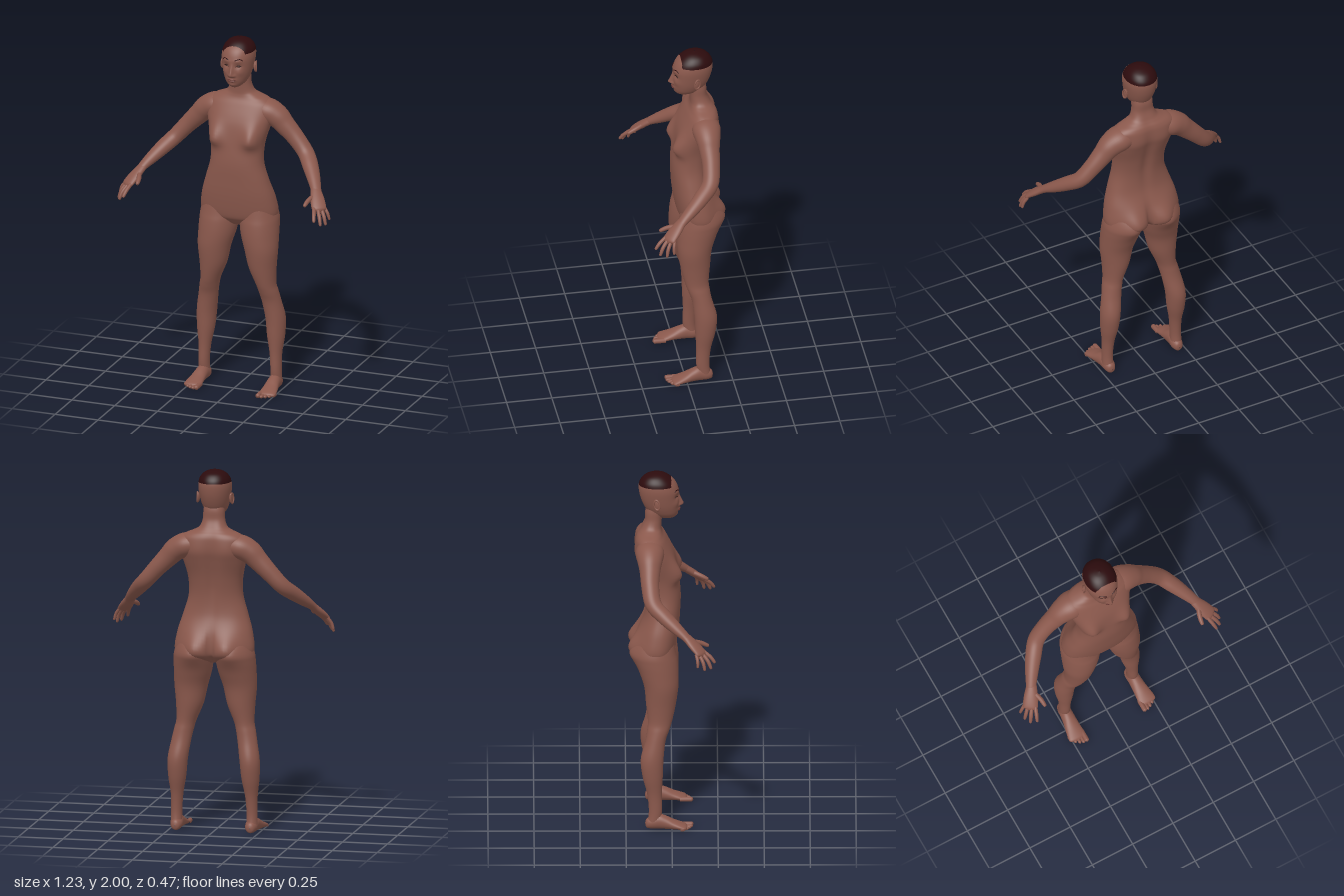
import * as THREE from 'three';

const mat = (name, color) => Object.assign(new THREE.MeshStandardMaterial({ color }), { name });

// Catmull-Rom value between rows of numbers
function sample(rows, i, t) {
  const at = k => rows[Math.min(rows.length - 1, Math.max(0, k))];
  const [a, b, c, d] = [at(i - 1), at(i), at(i + 1), at(i + 2)];
  return b.map((p, k) => p + 0.5 * t * (c[k] - a[k] + t * (2 * a[k] - 5 * p + 4 * c[k] - d[k]
    + t * (3 * (p - c[k]) + d[k] - a[k]))));
}

// Skin over elliptical rings; each row is [x, y, z, radiusU, radiusV]
function loft(rows, { ref = [0, 1, 0], axis = null, seg = 24, steps = 5, square = 1 } = {}) {
  const rings = [], pos = [], idx = [];
  for (let i = 0; i < rows.length - 1; i++)
    for (let s = 0; s < steps; s++) rings.push(sample(rows, i, s / steps));
  rings.push(rows[rows.length - 1]);
  const centre = k => new THREE.Vector3(...rings[Math.min(rings.length - 1, Math.max(0, k))].slice(0, 3));
  const bend = v => Math.sign(v) * Math.abs(v) ** square;
  rings.forEach((r, k) => {
    const T = axis ? new THREE.Vector3(...axis) : centre(k + 1).sub(centre(k - 1)).normalize();
    const U = new THREE.Vector3(...ref).cross(T).normalize(), V = T.clone().cross(U);
    for (let j = 0; j < seg; j++) {
      const a = j / seg * Math.PI * 2;
      const p = centre(k).addScaledVector(U, bend(Math.cos(a)) * Math.max(r[3], 0.0004))
        .addScaledVector(V, bend(Math.sin(a)) * Math.max(r[4], 0.0004));
      pos.push(p.x, p.y, p.z);
      if (k < rings.length - 1) {
        const n = (j + 1) % seg, q = k * seg;
        idx.push(q + j, q + n, q + seg + j, q + n, q + seg + n, q + seg + j);
      }
    }
  });
  const g = new THREE.BufferGeometry();
  g.setAttribute('position', new THREE.Float32BufferAttribute(pos, 3));
  g.setIndex(idx);
  g.computeVertexNormals();
  return g;
}

// Soft swellings and hollows: [x, y, widthX, heightUp, heightDown, amount], side +1 front, -1 back
function sculpt(g, side, midZ, bumps) {
  const p = g.attributes.position;
  const base = p.clone();
  for (let i = 0; i < p.count; i++) {
    const x = base.getX(i), y = base.getY(i), z = base.getZ(i);
    const w = THREE.MathUtils.clamp((z - midZ) * side / 0.05, 0, 1);
    let d = 0;
    for (const [bx, by, sx, up, down, amount] of bumps)
      d += amount * Math.exp(-(((x - bx) / sx) ** 2) - ((y - by) / (y > by ? up : down)) ** 2);
    p.setZ(i, z + side * w * d);
  }
  g.computeVertexNormals();
  return g;
}
const both = b => [b, [-b[0], ...b.slice(1)]];

function mirrored(g) {
  const m = g.clone().scale(-1, 1, 1), ix = m.index.array;
  for (let i = 0; i < ix.length; i += 3) [ix[i], ix[i + 1]] = [ix[i + 1], ix[i]];
  m.computeVertexNormals();
  return m;
}

// Rows [y, halfWidth, frontZ, backZ] for the upright parts
const upright = rows => rows.map(([y, w, f, b]) => [0, y, (f + b) / 2, w, (f - b) / 2]);

export function createModel() {
  const model = new THREE.Group();
  const skin = mat('skin', 0x8a584c), hair = mat('hair', 0x2c0b0d);
  const lip = mat('lips', 0x733f39), eye = mat('eyes', 0x38201c);
  const add = (name, g, m = skin) => {
    const mesh = new THREE.Mesh(g, m);
    mesh.name = name;
    model.add(mesh);
  };
  const pair = (name, g, m) => {
    add(name + 'Left', g, m);
    add(name + 'Right', mirrored(g), m);
  };
  const seat = [0.09, 1.015, 0.07, 0.075, 0.07, 0.048];

  // Torso and neck
  const torso = loft(upright([
    [0.935, 0.04, -0.03, -0.12], [0.965, 0.17, 0.0, -0.17], [1.0, 0.218, 0.02, -0.195],
    [1.1, 0.208, 0.037, -0.18], [1.2, 0.178, 0.045, -0.15], [1.3, 0.15, 0.048, -0.145],
    [1.4, 0.15, 0.037, -0.16], [1.5, 0.174, 0.02, -0.185], [1.56, 0.188, 0.0, -0.2],
    [1.62, 0.188, -0.03, -0.2], [1.65, 0.155, -0.048, -0.192], [1.67, 0.108, -0.055, -0.178],
    [1.69, 0.076, -0.057, -0.165], [1.73, 0.061, -0.055, -0.148], [1.78, 0.058, -0.05, -0.145],
    [1.83, 0.05, -0.05, -0.13]]), { ref: [0, 0, 1], axis: [0, 1, 0], seg: 96, steps: 6, square: 0.86 });
  sculpt(torso, 1, -0.06, both([0.11, 1.435, 0.05, 0.075, 0.04, 0.042]));
  sculpt(torso, -1, -0.1, [...both(seat), [0, 1.0, 0.016, 0.08, 0.08, -0.04],
    [0, 1.4, 0.03, 0.22, 0.2, -0.014], ...both([0.09, 1.55, 0.05, 0.07, 0.08, 0.008])]);
  add('torso', torso);

  // Legs, ankle to hip
  const leg = loft([
    [0.21, 0.03, -0.1, 0.032, 0.035], [0.21, 0.1, -0.09, 0.03, 0.036], [0.207, 0.2, -0.095, 0.034, 0.04],
    [0.204, 0.3, -0.105, 0.049, 0.055], [0.2, 0.4, -0.108, 0.055, 0.062], [0.184, 0.5, -0.09, 0.054, 0.055],
    [0.172, 0.56, -0.075, 0.054, 0.06], [0.16, 0.61, -0.065, 0.056, 0.066], [0.143, 0.7, -0.06, 0.076, 0.081],
    [0.136, 0.8, -0.058, 0.092, 0.093], [0.124, 0.88, -0.07, 0.104, 0.106], [0.117, 0.95, -0.083, 0.109, 0.113],
    [0.114, 1.0, -0.088, 0.106, 0.108], [0.11, 1.1, -0.075, 0.08, 0.08]],
  { ref: [0, 0, 1], axis: [0, 1, 0], seg: 48 });
  sculpt(leg, -1, -0.1, [[0.1, 1.0, 0.075, 0.08, 0.065, 0.034]]);
  pair('leg', leg);

  // Feet and toes
  pair('foot', loft([
    [0.208, 0.03, -0.146, 0.002, 0.002], [0.208, 0.03, -0.138, 0.021, 0.025], [0.208, 0.035, -0.11, 0.033, 0.035],
    [0.21, 0.042, -0.07, 0.035, 0.042], [0.212, 0.036, -0.03, 0.038, 0.036], [0.215, 0.026, 0.01, 0.043, 0.026],
    [0.217, 0.018, 0.05, 0.048, 0.018], [0.218, 0.013, 0.075, 0.043, 0.012], [0.218, 0.012, 0.086, 0.002, 0.002]],
  { axis: [0, 0, 1], seg: 32 }));
  for (let i = 0; i < 5; i++) {
    const x = 0.18 + i * 0.019, r = i ? 0.0095 : 0.0135, tip = 0.117 - i * i * 0.0026;
    pair('toe' + (i + 1), loft([[x, r, 0.045, r, r], [x, r, tip - 0.02, r, r],
      [x, r, tip - 0.007, r * 0.9, r * 0.85], [x, r * 0.9, tip, 0.001, 0.001]], { seg: 14 }));
  }

  // Arms, shoulder to wrist
  pair('arm', loft([
    [0.06, 1.59, -0.12, 0.06, 0.055], [0.145, 1.584, -0.12, 0.078, 0.067], [0.205, 1.556, -0.12, 0.068, 0.064],
    [0.25, 1.512, -0.12, 0.056, 0.056], [0.315, 1.445, -0.118, 0.048, 0.048], [0.38, 1.373, -0.1, 0.046, 0.043],
    [0.43, 1.322, -0.042, 0.044, 0.039], [0.475, 1.273, 0.022, 0.036, 0.031], [0.505, 1.238, 0.07, 0.029, 0.022],
    [0.52, 1.215, 0.095, 0.03, 0.019]], { seg: 40, steps: 6 }));

  // Hands
  pair('palm', loft([
    [0.498, 1.246, 0.06, 0.026, 0.02], [0.512, 1.227, 0.085, 0.031, 0.02], [0.532, 1.198, 0.117, 0.039, 0.02],
    [0.55, 1.172, 0.145, 0.041, 0.017], [0.561, 1.155, 0.161, 0.037, 0.013], [0.567, 1.146, 0.169, 0.002, 0.002]],
  { seg: 28 }));
  const fingers = {
    thumb: [[0.512, 1.213, 0.105], [0.494, 1.197, 0.155], [0.487, 1.176, 0.2], 0.013],
    indexFinger: [[0.533, 1.165, 0.168], [0.547, 1.136, 0.207], [0.557, 1.103, 0.234], 0.0105],
    middleFinger: [[0.549, 1.162, 0.157], [0.573, 1.125, 0.192], [0.588, 1.08, 0.213], 0.0108],
    ringFinger: [[0.565, 1.16, 0.144], [0.59, 1.122, 0.167], [0.605, 1.076, 0.178], 0.0102],
    littleFinger: [[0.579, 1.162, 0.13], [0.6, 1.132, 0.138], [0.612, 1.095, 0.139], 0.009]
  };
  for (const [name, [a, b, c, r]] of Object.entries(fingers)) {
    const near = c.map((v, k) => v + (b[k] - v) * 0.15);
    pair(name, loft([[...a, r, r], [...b, r, r], [...near, r * 0.75, r * 0.75], [...c, 0.001, 0.001]], { seg: 14 }));
  }

  // Head with sculpted face
  const head = loft(upright([
    [1.735, 0.012, 0.0, -0.04], [1.745, 0.034, 0.018, -0.08], [1.765, 0.054, 0.03, -0.115],
    [1.79, 0.067, 0.036, -0.14], [1.82, 0.077, 0.038, -0.157], [1.86, 0.085, 0.038, -0.172],
    [1.9, 0.09, 0.036, -0.18], [1.932, 0.088, 0.026, -0.18], [1.957, 0.08, 0.009, -0.17],
    [1.98, 0.061, -0.018, -0.148], [1.994, 0.034, -0.047, -0.115], [2.0, 0.001, -0.078, -0.082]]),
  { ref: [0, 0, 1], axis: [0, 1, 0], seg: 144, steps: 8, square: 0.95 });
  sculpt(head, 1, -0.04, [
    [0, 1.817, 0.012, 0.024, 0.01, 0.024], [0, 1.85, 0.009, 0.025, 0.025, 0.009],
    ...both([0.015, 1.814, 0.008, 0.008, 0.008, 0.008]), ...both([0.034, 1.866, 0.018, 0.012, 0.012, -0.009]),
    ...both([0.033, 1.895, 0.022, 0.01, 0.008, 0.004]), ...both([0.045, 1.83, 0.018, 0.016, 0.02, 0.005]),
    [0, 1.788, 0.022, 0.011, 0.011, 0.008], [0, 1.757, 0.02, 0.01, 0.01, 0.005]]);

  // Cropped hair covers the crown behind the hairline
  const p = head.attributes.position, ix = head.index.array, parts = [[], []];
  for (let i = 0; i < ix.length; i += 3) {
    const t = [ix[i], ix[i + 1], ix[i + 2]];
    const mean = f => t.reduce((s, v) => s + f(v), 0) / 3;
    const isHair = mean(v => p.getY(v)) > 1.932 && mean(v => p.getZ(v)) < -0.004;
    parts[+isHair].push(...t);
  }
  head.setIndex(parts.flat());
  head.addGroup(0, parts[0].length, 0);
  head.addGroup(parts[0].length, parts[1].length, 1);
  add('head', head, [skin, hair]);

  // Point on the face nearest to x, y
  const onFace = (x, y, lift = 0) => {
    let best = 1, z = 0;
    for (let i = 0; i < p.count; i++) {
      const d = Math.hypot(p.getX(i) - x, p.getY(i) - y);
      if (p.getZ(i) > -0.05 && d < best) { best = d; z = p.getZ(i); }
    }
    return new THREE.Vector3(x, y, z + lift);
  };
  const line = (pts, r) => new THREE.TubeGeometry(
    new THREE.CatmullRomCurve3(pts.map(([x, y]) => onFace(x, y))), 20, r, 6);
  pair('eyebrow', line([[0.017, 1.9], [0.03, 1.906], [0.044, 1.908], [0.057, 1.899]], 0.0025), hair);
  pair('eyelid', line([[0.02, 1.864], [0.028, 1.87], [0.038, 1.871], [0.049, 1.864]], 0.002), eye);
  const ball = (sx, sy, sz) => new THREE.SphereGeometry(1, 20, 14).scale(sx, sy, sz);
  const eyeAt = onFace(0.034, 1.865, -0.001);
  pair('eye', ball(0.011, 0.004, 0.004).rotateY(0.3).translate(...eyeAt.toArray()), eye);
  add('upperLip', line([[-0.023, 1.788], [-0.008, 1.792], [0, 1.791], [0.008, 1.792], [0.023, 1.788]], 0.0035), lip);
  add('lowerLip', line([[-0.02, 1.786], [-0.008, 1.782], [0.008, 1.782], [0.02, 1.786]], 0.004), lip);

  // Ears
  const placeEar = g => g.rotateX(-0.15).rotateY(0.3).translate(0.091, 1.842, -0.08);
  pair('ear', placeEar(ball(0.008, 0.029, 0.017)));
  pair('earRim', placeEar(new THREE.TorusGeometry(0.016, 0.004, 8, 28).rotateY(Math.PI / 2)
    .scale(1, 1.7, 1).translate(0.006, 0, 0)));
  return model;
}
